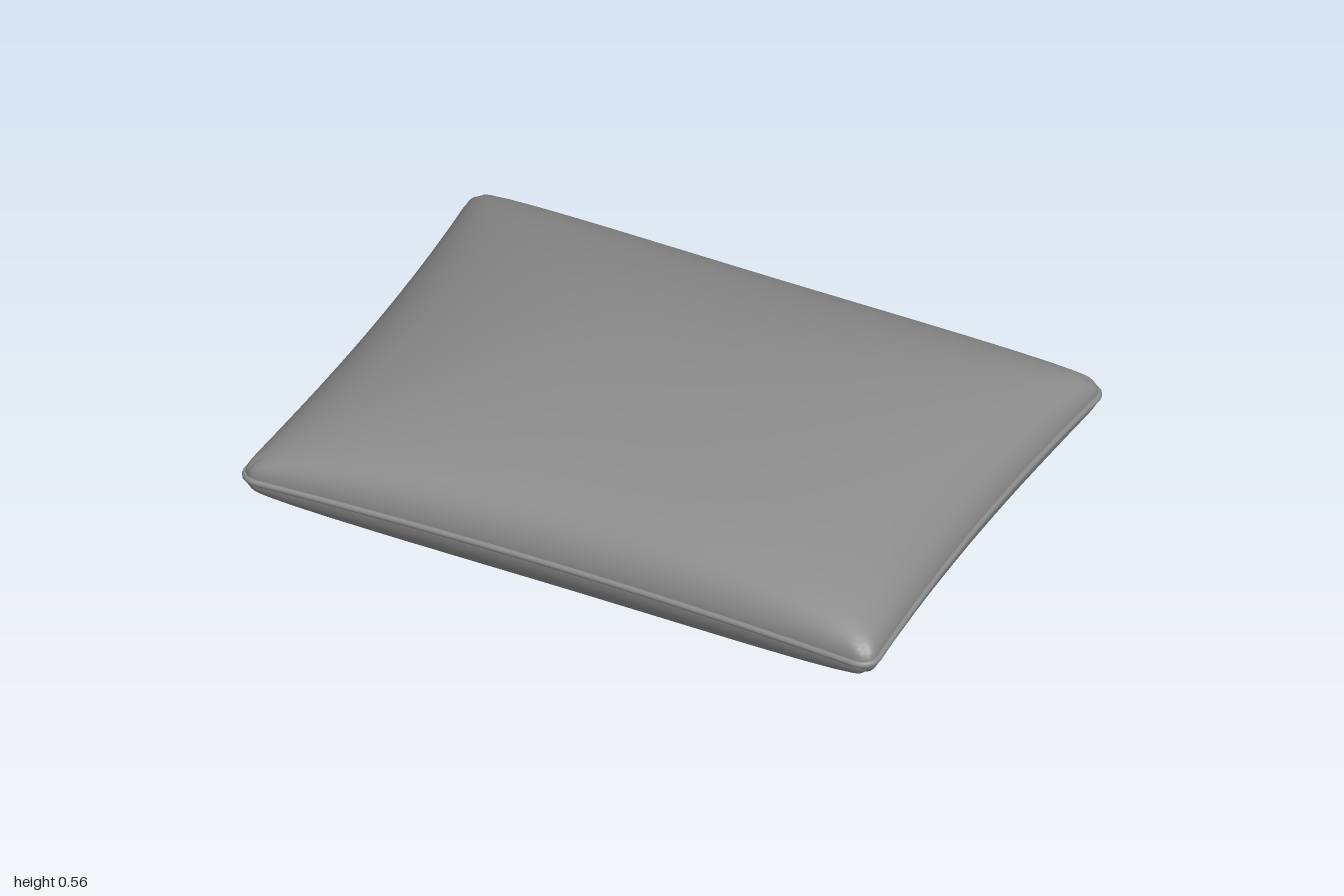
import * as THREE from 'three';

const HALF_X = 0.99, HALF_Z = 0.731; // seam half sizes at the corners
const PINCH = 0.035;                 // how far the edge middles pull in
const CORNER = 0.055;                // corner rounding
const HALF_H = 0.2775;               // half thickness
const PIPING = 0.01;

// Maps u, v in [-1, 1] onto the pillow's plan: rounded corners, concave sides
function plan(u, v) {
  let x = Math.abs(u) * HALF_X, z = Math.abs(v) * HALF_Z;
  const a = x - (HALF_X - CORNER), b = z - (HALF_Z - CORNER);
  if (a > 0 && b > 0) {
    const k = Math.max(a, b) / Math.hypot(a, b);
    x += a * (k - 1);
    z += b * (k - 1);
  }
  const px = x - PINCH * Math.abs(u) * (1 - (z / HALF_Z) ** 2);
  const pz = z - PINCH * Math.abs(v) * (1 - (x / HALF_X) ** 2);
  return [Math.sign(u) * px, Math.sign(v) * pz];
}

// Plump height that falls steeply to the seam and stays full in the corners
function puff(u, v) {
  const f = Math.max(1e-6, 1 - Math.abs(u) ** 2.5) ** 0.5;
  const g = Math.max(1e-6, 1 - v * v) ** 0.47;
  return HALF_H * f * g / (f + g - f * g);
}

// One half of the cushion; grid lines crowd towards the seam
function halfGeometry() {
  const geo = new THREE.PlaneGeometry(2, 2, 64, 64).rotateX(-Math.PI / 2);
  const pos = geo.attributes.position;
  for (let i = 0; i < pos.count; i++) {
    const u = Math.sin(pos.getX(i) * Math.PI / 2);
    const v = Math.sin(pos.getZ(i) * Math.PI / 2);
    const [x, z] = plan(u, v);
    pos.setXYZ(i, x, puff(u, v), z);
  }
  geo.computeVertexNormals();
  return geo;
}

// Closed seam line around the plan
function seamCurve() {
  const n = 48, points = [];
  const sides = [t => [t, 1], t => [1, -t], t => [-t, -1], t => [-1, t]];
  for (const side of sides) {
    for (let i = 0; i < n; i++) {
      const [x, z] = plan(...side(Math.sin((i / n - 0.5) * Math.PI)));
      const last = points[points.length - 1];
      if (!last || Math.hypot(x - last.x, z - last.z) > 0.006) points.push(new THREE.Vector3(x, 0, z));
    }
  }
  return new THREE.CatmullRomCurve3(points, true);
}

export function createModel() {
  const model = new THREE.Group();
  model.name = 'pillow';
  const material = new THREE.MeshStandardMaterial({ color: 0x8a8a8a });
  const add = (name, geo) => {
    const mesh = new THREE.Mesh(geo, material);
    mesh.name = name;
    mesh.position.y = HALF_H;
    model.add(mesh);
  };

  // Upper and lower fabric
  add('topCover', halfGeometry());
  add('bottomCover', halfGeometry().rotateX(Math.PI));

  // Piping over the seam
  add('piping', new THREE.TubeGeometry(seamCurve(), 400, PIPING, 10, true));

  return model;
}
